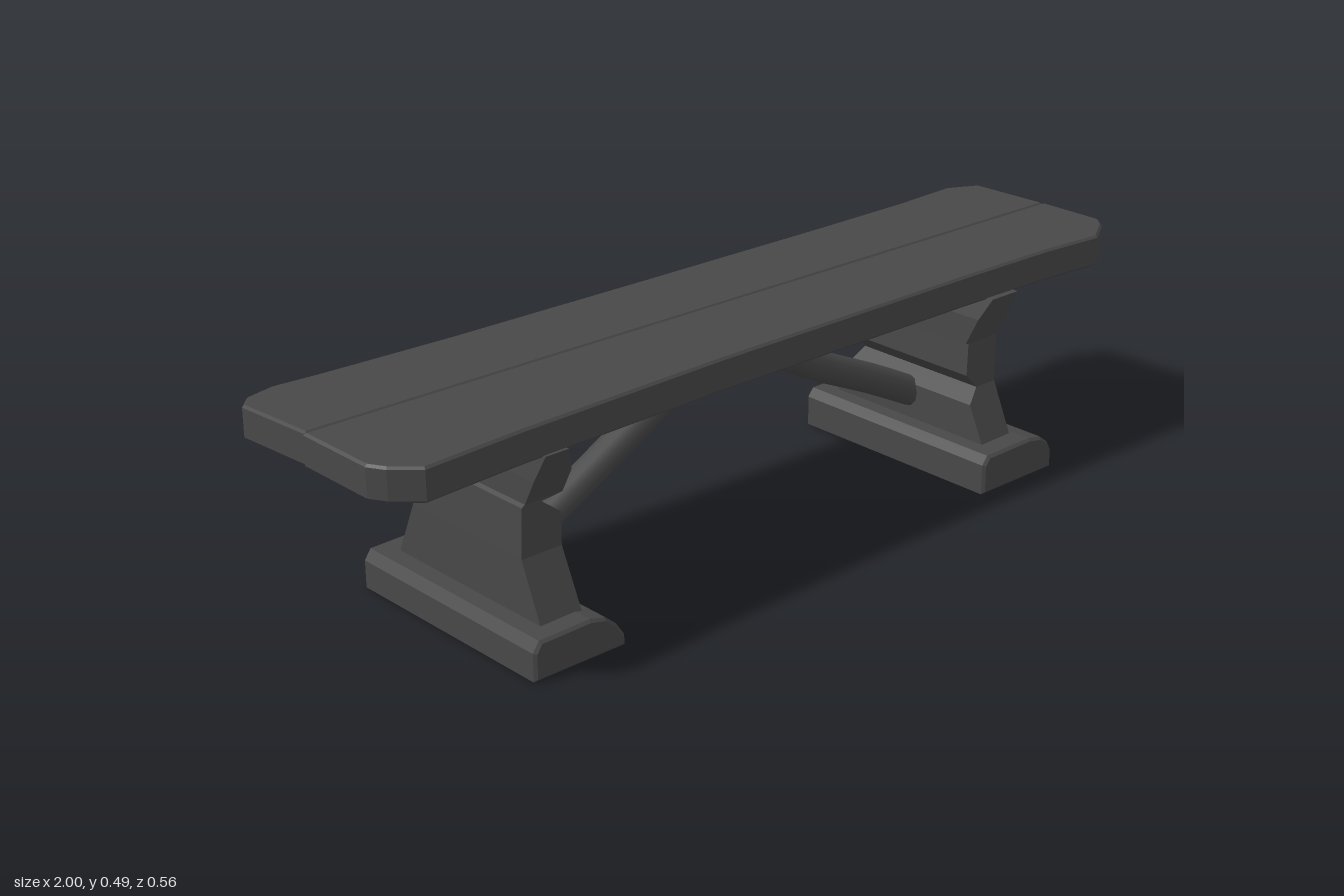
import * as THREE from 'three';

const material = new THREE.MeshStandardMaterial({ color: 0x484848, flatShading: true });
const smooth = new THREE.MeshStandardMaterial({ color: 0x484848 });

function add(group, name, geometry, mat = material) {
  const mesh = new THREE.Mesh(geometry, mat);
  mesh.name = name;
  group.add(mesh);
}

function bevelled(points, depth, bevel) {
  const shape = new THREE.Shape(points.map(([a, b]) => new THREE.Vector2(a, b)));
  const g = new THREE.ExtrudeGeometry(shape, {
    depth: depth - 2 * bevel, bevelThickness: bevel, bevelSize: bevel,
    bevelOffset: -bevel, bevelSegments: 1,
  });
  return g.translate(0, 0, bevel);
}

// Seat plank from a top outline of [x, z]; the sag lowers the back left corner
function plank(outline, sag) {
  const g = bevelled(outline.map(([x, z]) => [x, -z]), 0.07, 0.005);
  g.rotateX(-Math.PI / 2).translate(0, 0.421, 0);
  const p = g.attributes.position;
  for (let i = 0; i < p.count; i++) {
    const back = Math.max(0, -p.getZ(i) - 0.02) / 0.26;
    const left = (1 - p.getX(i)) / 2;
    p.setY(i, p.getY(i) - sag * back * left);
  }
  g.computeVertexNormals();
  return g;
}

// Leg board lofted from rectangles: [y, xMin, xMax, zBack, zFront], bottom to top
function loft(rings) {
  const pos = [], index = [];
  for (const [y, x0, x1, z0, z1] of rings) pos.push(x0, y, z1, x1, y, z1, x1, y, z0, x0, y, z0);
  for (let r = 0; r < rings.length - 1; r++) {
    for (let k = 0; k < 4; k++) {
      const a = r * 4 + k, b = r * 4 + (k + 1) % 4;
      index.push(a, b, b + 4, a, b + 4, a + 4);
    }
  }
  const t = (rings.length - 1) * 4;
  index.push(0, 2, 1, 0, 3, 2, t, t + 1, t + 2, t, t + 2, t + 3);
  const g = new THREE.BufferGeometry();
  g.setAttribute('position', new THREE.Float32BufferAttribute(pos, 3));
  g.setIndex(index);
  const flat = g.toNonIndexed();
  flat.computeVertexNormals();
  return flat;
}

// Waisted side outline: z limit at height y
function waist(y, [foot, low, high, top]) {
  const lerp = THREE.MathUtils.mapLinear;
  if (y < 0.2) return lerp(y, 0.08, 0.2, foot, low);
  if (y < 0.31) return lerp(y, 0.2, 0.31, low, high);
  return lerp(y, 0.31, 0.425, high, top);
}

export function createModel() {
  const model = new THREE.Group();
  model.name = 'bench';

  // Two seat planks with a narrow slanting seam
  add(model, 'backPlank', plank([
    [-0.995, -0.027], [-0.995, -0.235], [-0.965, -0.268], [-0.9, -0.283], [-0.8, -0.272],
    [-0.5, -0.252], [0, -0.235], [0.5, -0.222], [0.75, -0.219], [0.92, -0.225],
    [0.99, -0.188], [0.998, 0.003],
  ], 0.014));
  add(model, 'frontPlank', plank([
    [-1, -0.026], [1, 0.004], [1, 0.165], [0.975, 0.195], [0.905, 0.239], [0.75, 0.226],
    [0.5, 0.221], [-0.2, 0.218], [-0.7, 0.231], [-0.93, 0.246], [-0.98, 0.2], [-1, 0.165],
  ], 0));

  // Leg boards, notched across their inner faces: [y, xMin, xMax]
  const legs = [
    {
      name: 'rightLeg', back: [-0.215, -0.165, -0.17, -0.235], front: [0.23, 0.175, 0.175, 0.235],
      rows: [[0.06, -0.675, -0.575], [0.2, -0.672, -0.575], [0.27, -0.67, -0.575],
        [0.305, -0.668, -0.62], [0.31, -0.66, -0.57], [0.365, -0.66, -0.57], [0.425, -0.655, -0.6]],
    },
    {
      name: 'leftLeg', back: [-0.213, -0.16, -0.157, -0.22], front: [0.232, 0.178, 0.178, 0.237],
      rows: [[0.06, 0.56, 0.65], [0.17, 0.558, 0.65], [0.2, 0.592, 0.65], [0.235, 0.558, 0.65],
        [0.309, 0.56, 0.65], [0.311, 0.55, 0.652], [0.375, 0.55, 0.652], [0.425, 0.565, 0.645]],
    },
  ];
  for (const { name, rows, back, front } of legs) {
    add(model, name, loft(rows.map(([y, x0, x1]) => [y, x0, x1, waist(y, back), waist(y, front)])));
  }

  // Feet, each with one worn sloping edge
  add(model, 'rightFoot', bevelled([
    [-0.727, 0], [-0.505, 0], [-0.505, 0.022], [-0.525, 0.052], [-0.552, 0.075],
    [-0.59, 0.084], [-0.712, 0.082], [-0.727, 0.06],
  ], 0.545, 0.006).translate(0, 0, -0.269));
  add(model, 'leftFoot', bevelled([
    [0.51, 0], [0.735, 0], [0.735, 0.042], [0.722, 0.064], [0.698, 0.082],
    [0.66, 0.089], [0.525, 0.087], [0.51, 0.068],
  ], 0.545, 0.006).translate(0, 0, -0.264));

  // Round diagonal braces rising from the legs to the middle of the seat
  const braces = [
    ['rightBrace', [[-0.61, 0.095], [-0.4, 0.207], [-0.2, 0.315], [0.01, 0.425]]],
    ['leftBrace', [[0.61, 0.125], [0.45, 0.205], [0.24, 0.302], [0.03, 0.425]]],
  ];
  for (const [name, pts] of braces) {
    const curve = new THREE.CatmullRomCurve3(pts.map(([x, y]) => new THREE.Vector3(x, y, 0)));
    add(model, name, new THREE.TubeGeometry(curve, 10, 0.034, 12), smooth);
  }

  return model;
}
